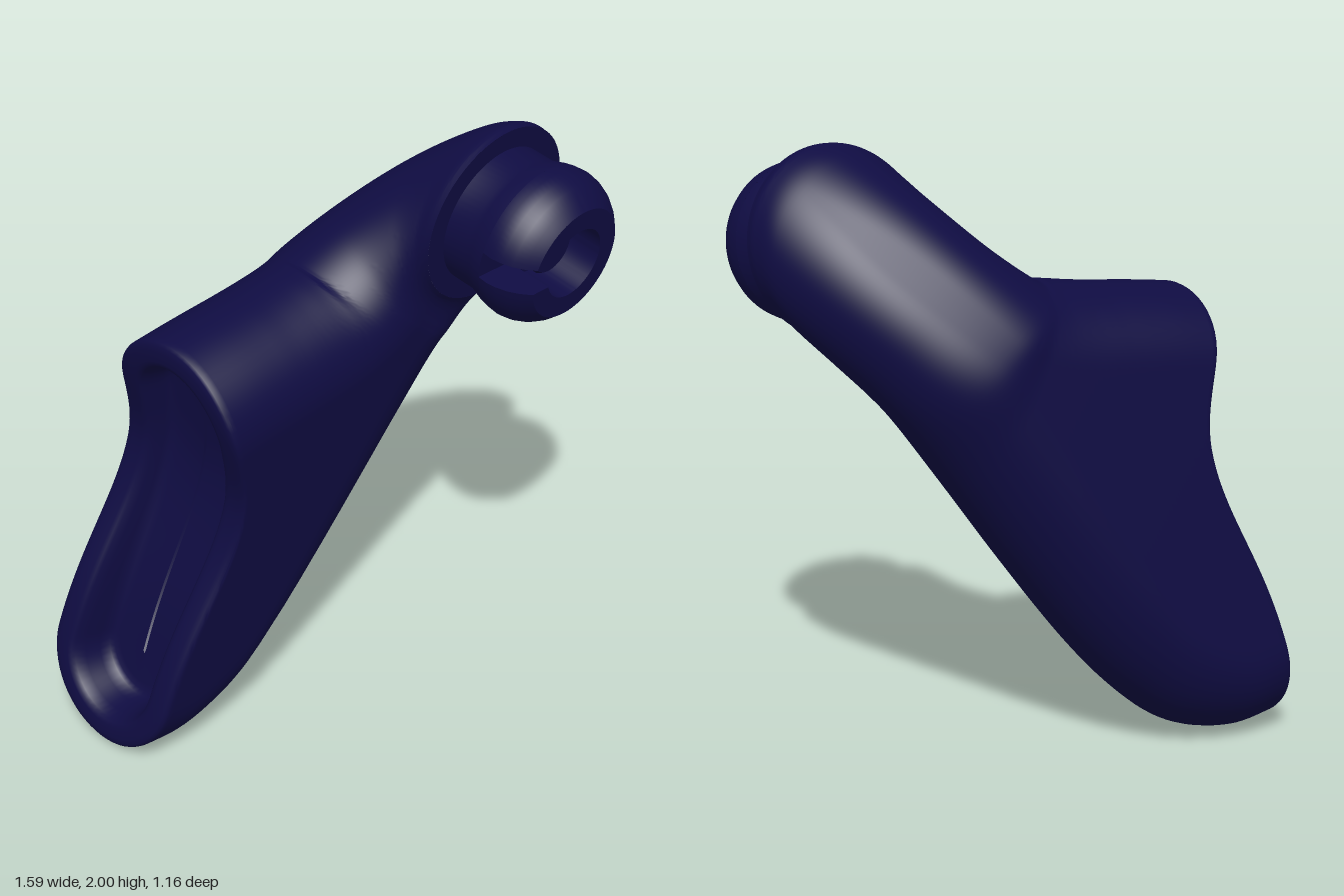
import * as THREE from 'three';
import { toCreasedNormals } from 'three/addons/utils/BufferGeometryUtils.js';

const V3 = (x, y, z) => new THREE.Vector3(x, y, z);
const TILT = 0.17;              // lean of the whole part about x
const HUB = V3(0.495, 1.71, 0); // axis of collar and knob

// surface from rows x cols of points; fn(i, j) gives a Vector3
function grid(rows, cols, wrap, fn, crease) {
  const pos = [], idx = [];
  for (let i = 0; i < rows; i++)
    for (let j = 0; j < cols; j++) pos.push(...fn(i, j).toArray());
  for (let i = 0; i < rows - 1; i++)
    for (let j = 0; j < (wrap ? cols : cols - 1); j++) {
      const k = (j + 1) % cols;
      const a = i * cols + j, b = a + cols, c = i * cols + k, d = c + cols;
      idx.push(a, b, c, b, d, c);
    }
  const geo = new THREE.BufferGeometry();
  geo.setAttribute('position', new THREE.Float32BufferAttribute(pos, 3));
  geo.setIndex(idx);
  return toCreasedNormals(geo, crease);
}

// Hollow body: stadium sections that shrink to a round elbow
function bodyGeometry() {
  const D = V3(0.63, 0.777, 0), N = V3(-0.777, 0.63, 0);
  const centers = [], longs = [], shorts = [], caps = [];
  const add = (c, u, v, cap) => {
    centers.push(c); longs.push(u); shorts.push(v); caps.push(V3(cap, 0, 0));
  };

  // upper edge x, y, lower edge x, y and lower rounding stretch of each flat section
  [
    [-0.60, 1.46, -0.80, -0.04, 1],
    [-0.45, 1.48, -0.62, -0.053, 1],
    [-0.32, 1.495, -0.42, 0.005, 1.15],
    [-0.23, 1.505, -0.25, 0.14, 1.38],
    [-0.16, 1.515, -0.08, 0.335, 1.48],
    [-0.10, 1.525, 0.13, 0.63, 1.33],
    [-0.055, 1.532, 0.32, 0.915, 1.12],
    [-0.015, 1.54, 0.47, 1.135, 1],
  ].forEach(([ax, ay, bx, by, cap]) => add(
    V3((ax + bx) / 2, (ay + by) / 2, -0.345),
    V3((ax - bx) / 2, (ay - by) / 2, 0),
    V3(0, 0, 0.275), cap));

  // elbow: inner and outer point (along D, depth), then extent along N
  [
    [-0.415, -0.075, -0.22, -0.525, -0.333, 0.262],
    [-0.38, -0.083, 0.05, -0.37, -0.328, 0.265],
    [-0.35, -0.087, 0.235, -0.22, -0.32, 0.283],
    [-0.322, -0.082, 0.3, -0.12, -0.307, 0.3],
    [-0.304, -0.07, 0.304, -0.07, -0.304, 0.304],
  ].forEach(([sf, wf, sb, wb, n0, n1]) => {
    const f = HUB.clone().addScaledVector(D, sf).setZ(wf);
    const b = HUB.clone().addScaledVector(D, sb).setZ(wb);
    add(f.clone().add(b).multiplyScalar(0.5).addScaledVector(N, (n0 + n1) / 2),
      N.clone().multiplyScalar((n1 - n0) / 2),
      f.clone().sub(b).multiplyScalar(0.5), 1);
  });
  const last = centers.length - 1;
  const curves = [centers, longs, shorts, caps].map(
    p => new THREE.CatmullRomCurve3(p, false, 'catmullrom', 0.5));

  // point on section t, pulled in by inset, at fraction f around
  function point(t, inset, f) {
    const [c, u, v, stretch] = curves.map(curve => curve.getPoint(t / last));
    const L0 = u.length(), L = L0 - inset, R = v.length() - inset;
    const k = Math.floor(f * 4), g = f * 4 - k;
    const cap = Math.min(L, k < 2 ? R : R * stretch.x);
    const a = L - cap, quarter = a + R * Math.PI / 2;
    const d = (k % 2 ? 1 - g : g) * quarter;
    const arc = d > a ? (d - a) / R : 0;
    const q = (d < a ? d : a + Math.sin(arc) * cap) * (k < 2 ? 1 : -1) / L0;
    const s = Math.cos(arc) * R / v.length() * (k === 0 || k === 3 ? 1 : -1);
    // hollow curve of the mouth
    const e = (q - 0.28) / (q > 0.28 ? 0.45 : 0.58);
    const bend = 0.17 * Math.max(0, 1 - t / 3.5) ** 1.5 * Math.exp(-e * e);
    return c.addScaledVector(u, q).addScaledVector(v, s).add(V3(bend, 0, 0));
  }

  // recess floor, inner walls, rounded rim, then the outside
  const rows = [
    [0.9, 0.27], [0.9, 0.16], [0.88, 0.135], [0.82, 0.122], [0.6, 0.115], [0.3, 0.103],
    [0.08, 0.092], [0.02, 0.083], [0, 0.068], [0, 0.03], [0.02, 0.012],
    [0.06, 0.003], [0.12, 0],
  ];
  for (let i = 1; i <= 120; i++) rows.push([0.12 + (last - 0.12) * i / 120, 0]);
  const cols = 128;
  return grid(rows.length, cols, true, (i, j) => point(...rows[i], j / cols), 0.9);
}

export function createModel() {
  const material = new THREE.MeshStandardMaterial({ color: 0x0f0c42, side: THREE.DoubleSide });
  const root = new THREE.Group();
  root.name = 'nozzle';
  const tilted = new THREE.Group();
  tilted.name = 'tiltedBody';
  tilted.rotation.x = TILT;
  root.add(tilted);
  const part = (name, geo, parent) => {
    const m = new THREE.Mesh(geo, material);
    m.name = name;
    parent.add(m);
  };
  part('hollowBody', bodyGeometry(), tilted);

  // everything round shares the hub axis
  const hub = new THREE.Group();
  hub.name = 'connector';
  hub.position.copy(HUB);
  tilted.add(hub);
  const lathe = pts => toCreasedNormals(
    new THREE.LatheGeometry(pts.map(p => new THREE.Vector2(...p)), 72).rotateX(Math.PI / 2), 0.6);

  part('collarFace', new THREE.CircleGeometry(0.304, 72).translate(0, 0, -0.07), hub);
  part('knobNeck', lathe([[0.235, -0.08], [0.235, 0.02], [0.242, 0.045], [0.252, 0.075], [0.257, 0.1], [0, 0.1]]), hub);
  part('centrePin', lathe([[0.088, 0.09], [0.088, 0.165], [0.08, 0.175], [0, 0.175]]), hub);

  // knob head: a ring cut by a straight slot towards -x
  const half = 0.045;
  const ring = [
    [0.12, 0.1], [0.12, 0.265], [0.19, 0.265], [0.218, 0.237],
    [0.24, 0.205], [0.254, 0.17], [0.26, 0.135], [0.257, 0.1],
  ];
  part('knobHead', grid(ring.length, 81, false, (i, j) => {
    const [r, w] = ring[i], gap = Math.asin(half / r);
    const a = Math.PI + gap + (j / 80) * (2 * Math.PI - 2 * gap);
    return V3(r * Math.cos(a), r * Math.sin(a), w);
  }, 0.6), hub);

  // flat side walls of the slot
  for (const side of [1, -1]) {
    const wall = new THREE.ShapeGeometry(new THREE.Shape(ring.map(p => new THREE.Vector2(...p))));
    const p = wall.attributes.position;
    for (let i = 0; i < p.count; i++) {
      const r = p.getX(i), w = p.getY(i);
      p.setXYZ(i, -Math.sqrt(r * r - half * half), side * half, w);
    }
    if (side > 0) wall.index.array.reverse();
    wall.computeVertexNormals();
    part(side > 0 ? 'slotWallUpper' : 'slotWallLower', wall, hub);
  }
  return root;
}
